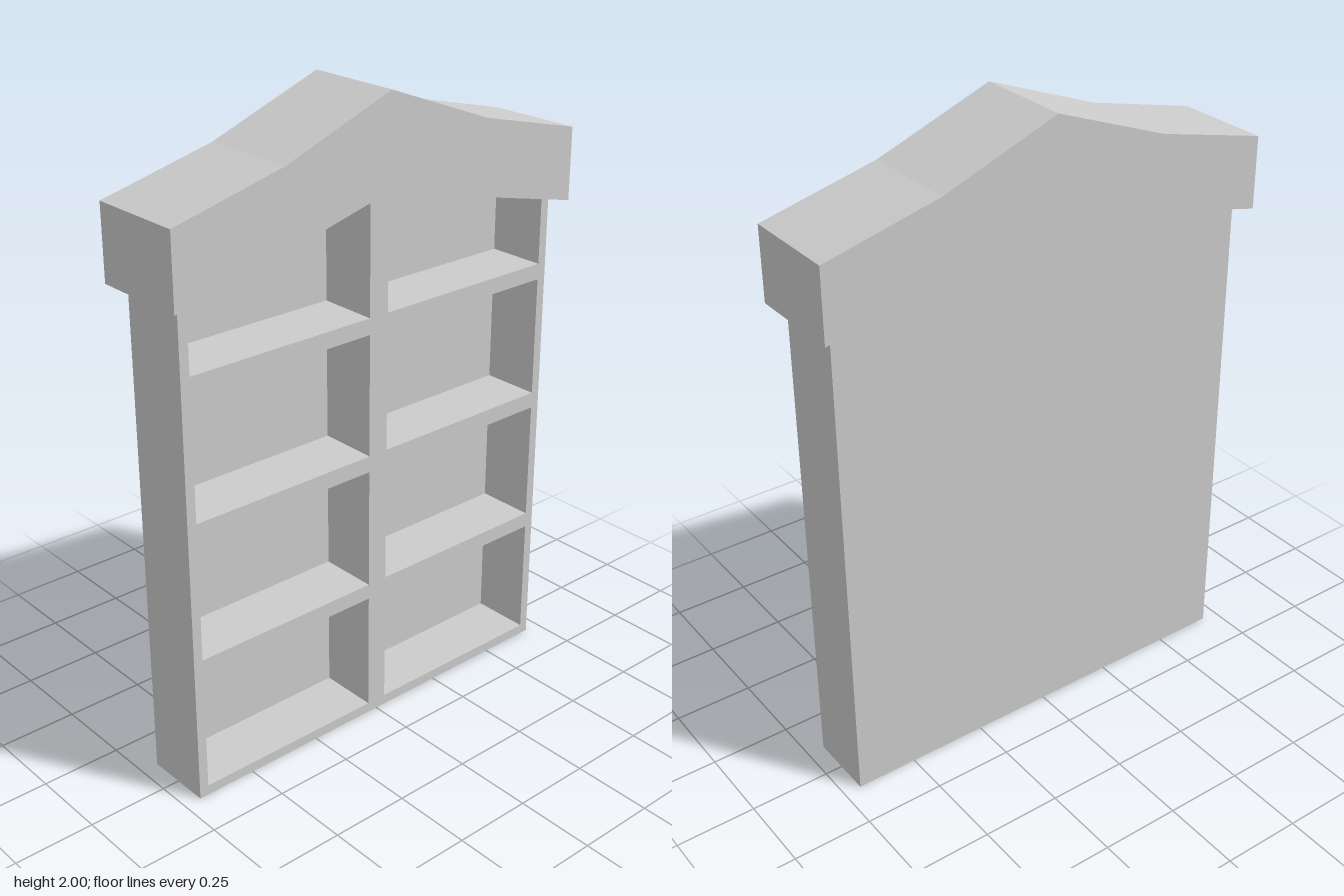
import * as THREE from 'three';

const material = new THREE.MeshStandardMaterial({ color: 0xcccccc, flatShading: true });

// Extrudes a shape from z0 to z1 as a named mesh
function slab(name, shape, z0, z1) {
  const geometry = new THREE.ExtrudeGeometry(shape, { depth: z1 - z0, bevelEnabled: false });
  geometry.translate(0, 0, z0);
  const mesh = new THREE.Mesh(geometry, material);
  mesh.name = name;
  return mesh;
}

// Closed outline from its right half, listed from bottom to top, mirrored across x = 0
function mirrored(half) {
  const left = half.map(([x, y]) => [-x, y]).reverse();
  return new THREE.Shape([...half, ...left].map(([x, y]) => new THREE.Vector2(x, y))
    .filter((p, i, all) => i === 0 || !p.equals(all[i - 1])));
}

export function createModel() {
  const group = new THREE.Group();
  group.name = 'gabledBookcase';

  const halfWidth = 0.695, cellIn = 0.034, cellOut = 0.665;
  const back = -0.11, front = 0.11, panelFront = -0.08;

  // Shelf frame: sides, divider and shelves in one piece, open at the top under the roof
  const topShelf = 1.342;
  const frame = mirrored([
    [halfWidth, 0], [halfWidth, 1.56], [cellOut, 1.565],
    [cellOut, topShelf], [cellIn, topShelf], [cellIn, 1.725],
  ]);
  for (const y of [0.032, 0.467, 0.905]) {
    for (const side of [-1, 1]) {
      const a = side * cellIn, b = side * cellOut, top = y + 0.386;
      frame.holes.push(new THREE.Path([[a, y], [b, y], [b, top], [a, top]]
        .map(([px, py]) => new THREE.Vector2(px, py))));
    }
  }
  group.add(slab('shelfFrame', frame, panelFront, front));

  // Back panel with a gabled top tucked into the roof
  const panel = mirrored([[halfWidth, 0], [halfWidth, 1.56], [0.37, 1.635], [0, 1.725]]);
  group.add(slab('backPanel', panel, back, panelFront));

  // Overhanging roof with a kinked slope; the underside comes first, then the top
  const roof = new THREE.Shape([
    [-0.735, 1.543], [-0.37, 1.627], [0, 1.72], [0.37, 1.627], [0.735, 1.543],
    [0.735, 1.771], [0.37, 1.86], [0, 2], [-0.37, 1.86], [-0.735, 1.771],
  ].map(([x, y]) => new THREE.Vector2(x, y)));
  group.add(slab('roof', roof, -0.156, 0.156));

  return group;
}
